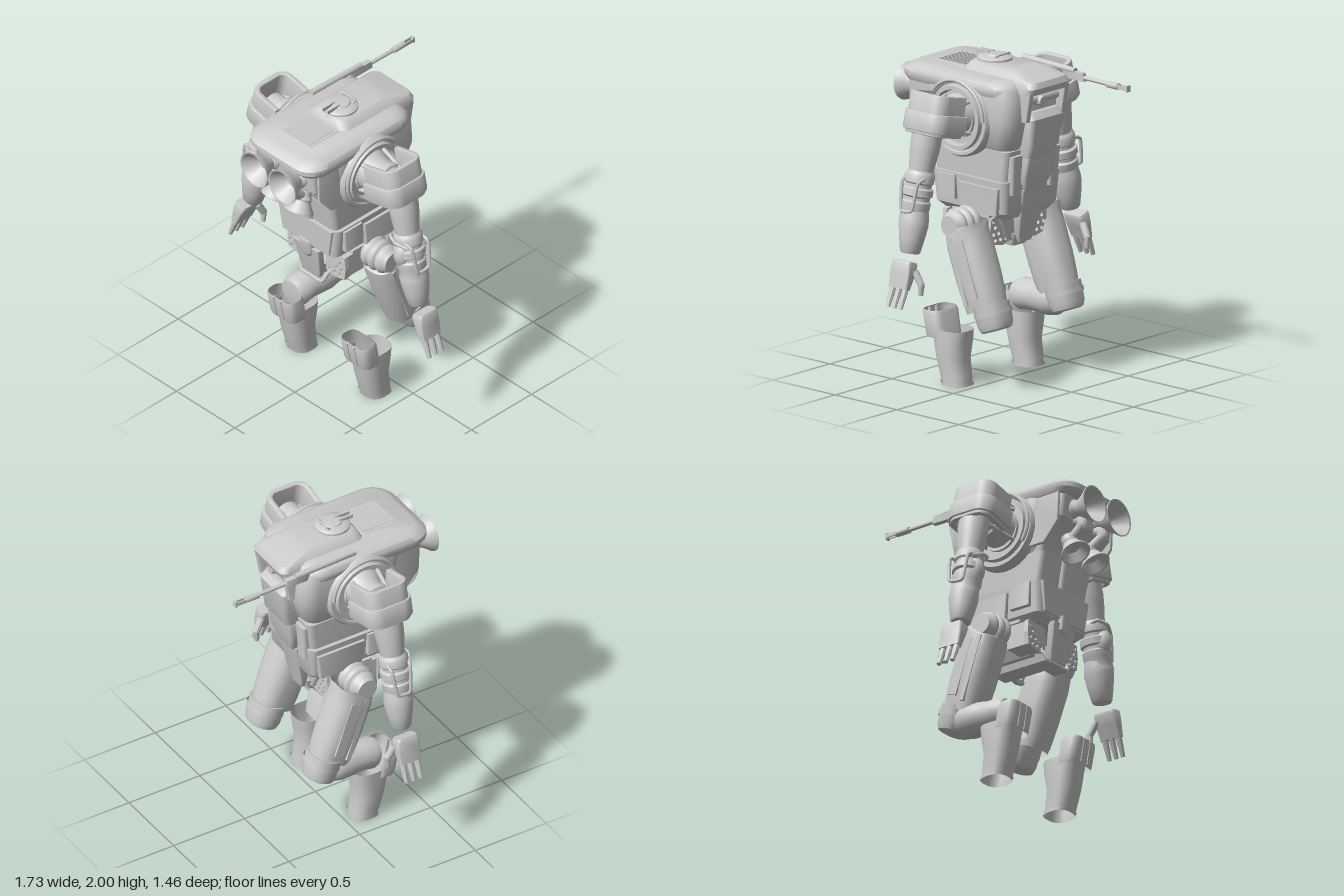
import * as THREE from 'three';
import { toCreasedNormals } from 'three/addons/utils/BufferGeometryUtils.js';

const V = (x, y, z) => new THREE.Vector3(x, y, z);
const UP = V(0, 1, 0);

// Loft of rounded rectangles; each section is [y, halfWidth, zBack, zFront, cornerRadius]
function loft(sections, capped = true, n = 5) {
  const pos = [], idx = [], ring = 4 * (n + 1);
  for (const [y, w, zb, zf, r] of sections) {
    const zc = (zb + zf) / 2, h = (zf - zb) / 2;
    const corners = [[1, 1], [-1, 1], [-1, -1], [1, -1]];
    corners.forEach(([sx, sz], c) => {
      for (let i = 0; i <= n; i++) {
        const a = (c + i / n) * Math.PI / 2;
        pos.push(sx * (w - r) + r * Math.cos(a), y, zc - sz * (h - r) - r * Math.sin(a));
      }
    });
  }
  for (let s = 0; s < sections.length - 1; s++) {
    for (let i = 0; i < ring; i++) {
      const j = (i + 1) % ring, a = s * ring + i, b = s * ring + j;
      idx.push(a, b, b + ring, a, b + ring, a + ring);
    }
  }
  if (capped) {
    const top = (sections.length - 1) * ring;
    for (let i = 1; i < ring - 1; i++) idx.push(0, i + 1, i, top, top + i, top + i + 1);
  }
  const g = new THREE.BufferGeometry();
  g.setAttribute('position', new THREE.Float32BufferAttribute(pos, 3));
  g.setIndex(idx);
  return toCreasedNormals(g, 0.6);
}

// Turned part standing at p and pointing along dir; points are [radius, distance]
function turned(points, p, dir, seg = 32) {
  const g = new THREE.LatheGeometry(points.map(([r, y]) => new THREE.Vector2(r, y)), seg);
  g.applyQuaternion(new THREE.Quaternion().setFromUnitVectors(UP, dir.clone().normalize()));
  return toCreasedNormals(g.translate(p.x, p.y, p.z), 0.6);
}

function rod(a, b, r0, r1 = r0, seg = 12) {
  const d = b.clone().sub(a);
  return turned([[0, 0], [r0, 0], [r1, d.length()], [0, d.length()]], a, d, seg);
}

const tube = (pts, r) =>
  new THREE.TubeGeometry(new THREE.CatmullRomCurve3(pts, false, 'catmullrom', 0.2), 32, r, 8);

const box = (w, h, d, x, y, z) => new THREE.BoxGeometry(w, h, d).translate(x, y, z);

// Mirrored copy across x = 0 with its winding restored
function mirror(geo) {
  const g = geo.index ? geo.toNonIndexed() : geo.clone();
  g.scale(-1, 1, 1);
  for (const name of ['position', 'normal']) {
    const a = g.attributes[name].array;
    for (let i = 0; i < a.length; i += 9) {
      for (let k = 3; k < 6; k++) [a[i + k], a[i + k + 3]] = [a[i + k + 3], a[i + k]];
    }
  }
  return g;
}

// U-shaped sleeve open toward the body
function sleeve(w, h, r, t, height) {
  const s = new THREE.Shape();
  s.moveTo(-w, -h); s.lineTo(w - r, -h);
  s.absarc(w - r, -h + r, r, -Math.PI / 2, 0);
  s.absarc(w - r, h - r, r, 0, Math.PI / 2);
  s.lineTo(-w, h); s.lineTo(-w, h - t);
  s.absarc(w - r, h - r, r - t, Math.PI / 2, 0, true);
  s.absarc(w - r, -h + r, r - t, 0, -Math.PI / 2, true);
  s.lineTo(-w, -h + t);
  const g = new THREE.ExtrudeGeometry(s, { depth: height, curveSegments: 8, bevelThickness: 0.008, bevelSize: 0.006, bevelSegments: 2 });
  return toCreasedNormals(g.rotateX(-Math.PI / 2), 0.6);
}

export function createModel() {
  const model = new THREE.Group();
  model.name = 'walkerSuit';
  const grey = new THREE.MeshStandardMaterial({ color: 0xcccccc, side: THREE.DoubleSide });
  grey.name = 'plain grey';
  const add = (name, geo) => {
    const m = new THREE.Mesh(geo, grey);
    m.name = name;
    model.add(m);
  };
  const pair = (name, geo) => { add(name + 'Left', geo); add(name + 'Right', mirror(geo)); };

  // Upper hull, roof and hump
  add('hull', loft([[1.42, .2, -.15, .38, .06], [1.5, .26, -.21, .41, .09], [1.66, .29, -.255, .44, .1], [1.8, .29, -.245, .46, .1], [1.86, .28, -.225, .46, .1]]));
  add('roof', loft([[1.8, .285, -.23, .63, .12], [1.83, .3, -.235, .66, .14], [1.86, .3, -.23, .66, .14], [1.885, .285, -.21, .63, .13], [1.905, .24, -.17, .59, .1]]));
  add('hump', loft([[1.83, .18, -.33, .25, .05], [1.87, .18, -.345, .26, .05], [1.905, .165, -.33, .25, .06], [1.94, .13, -.2, .235, .06], [1.953, .11, -.14, .22, .06]]));
  add('thrusterHousing', loft([[1.42, .23, .1, .41, .03], [1.56, .25, .1, .45, .03], [1.66, .25, .1, .57, .03], [1.82, .25, .1, .59, .03]]));
  pair('housingFin', loft([[1.5, .012, .3, .46, .01], [1.62, .012, .3, .56, .01], [1.83, .012, .3, .57, .01]]).translate(.265, 0, 0));

  // Roof hatch with handle
  add('hatch', turned([[.117, 0], [.117, .015], [.108, .02], [.108, .035], [.095, .045], [.06, .05], [.055, .058], [0, .06]], V(0, 1.93, .12), UP));
  pair('hatchHinge', box(.012, .022, .1, .02, 1.985, .2));
  add('hatchHandle', tube([V(-.05, 1.975, .07), V(-.05, 1.992, .05), V(.05, 1.992, .05), V(.05, 1.975, .07)], .007));

  // Roof grille
  add('grilleFrame', loft([[1.9, .13, .255, .5, .01], [1.908, .126, .26, .495, .01]]));
  for (let i = 0; i < 12; i++) add('grilleSlat', box(.21, .006, .009, 0, 1.909, .28 + i * .0178));

  // Roof gun
  const gx = -.252;
  add('gunRail', rod(V(gx, 1.915, .12), V(gx, 1.9, -.3), .02));
  add('gunReceiver', loft([[1.85, .018, -.38, -.22, .008], [1.9, .018, -.37, -.2, .008]]).translate(gx, 0, 0));
  add('gunBarrel', rod(V(gx, 1.872, -.36), V(gx, 1.868, -.66), .013));
  add('gunSleeve', rod(V(gx, 1.868, -.56), V(gx, 1.868, -.65), .02));
  for (const s of [-1, 1]) add('gunMuzzle', box(.008, .022, .08, gx + s * .012, 1.868, -.69));
  add('gunTip', box(.03, .04, .012, gx, 1.868, -.724));

  // Main and lower thrusters
  pair('mainThruster', turned([[.06, -.03], [.065, 0], [.05, .02], [.06, .045], [.085, .09], [.115, .13], [.117, .14], [.108, .138], [.075, .085], [.045, .04], [.04, .05], [0, .06]], V(.12, 1.73, .585), V(0, 0, 1)));
  const low = V(.08, -.87, .49).normalize();
  pair('lowerThruster', turned([[0, -.03], [.045, -.03], [.045, 0], [.06, .02], [.055, .035], [.065, .06], [.092, .1], [.092, .108], [.084, .106], [.05, .05], [0, .04]], V(.1, 1.46, .565).addScaledVector(low, -.106), low));
  pair('thrusterPipe', tube([V(.1, 1.68, .5), V(.1, 1.66, .6), V(.1, 1.62, .615), V(.09, 1.55, .52)], .035));

  // Shoulder rings and links
  const X = V(1, 0, 0);
  pair('shoulderRing', turned([[.245, 0], [.245, .05], [.232, .07], [.215, .07], [.21, .06], [.2, .06], [.195, .09], [.172, .09], [.165, .05], [.13, .05], [.13, .07], [0, .07]], V(.24, 1.645, .15), X, 48));
  pair('shoulderHoop', new THREE.TorusGeometry(.22, .012, 8, 40, Math.PI * 1.2).rotateY(Math.PI / 2).translate(.32, 1.655, .15));
  pair('shoulderLink', turned([[.13, 0], [.105, .06], [.1, .12], [.11, .125], [.11, .16], [.095, .165], [.09, .26], [0, .28]], V(.3, 1.66, .15), X));
  for (let i = 0; i < 4; i++) {
    const a = Math.PI / 4 + i * Math.PI / 2, c = Math.cos(a), s = Math.sin(a);
    pair('shoulderStrut', rod(V(.3, 1.66 + .14 * c, .15 + .14 * s), V(.52, 1.66 + .085 * c, .15 + .085 * s), .014));
  }

  // Shoulder pads
  const pad = (g, y) => g.translate(0, y, 0).rotateZ(.23).translate(.515, 1.71, .15);
  pair('shoulderPad', pad(sleeve(.11, .14, .075, .022, .235), -.12));
  pair('shoulderPadBelt', pad(sleeve(.122, .158, .09, .025, .1), -.1));

  // Arms
  const armTop = V(.555, 1.64, .15), armDir = V(.12, -.56, .02);
  pair('upperArm', turned([[0, 0], [.09, .01], [.092, .1], [.088, .16], [.075, .27], [.085, .285], [.09, .3], [.09, .34], [.08, .35], [.08, .37], [.095, .38], [.095, .42], [.082, .43], [.082, .45], [.092, .46], [.09, .5], [.08, .53], [.085, .58]], armTop, armDir));
  pair('forearm', turned([[.08, -.02], [.088, .03], [.09, .07], [.078, .15], [.062, .23], [.055, .24], [0, .24]], V(.665, 1.12, .16), V(.045, -.24, 0)));
  pair('elbowPad', new THREE.SphereGeometry(.075, 20, 14).scale(.75, 1.15, .8).translate(.635, 1.24, .215));
  pair('elbowFrame', tube([V(.655, 1.34, .09), V(.72, 1.32, .09), V(.75, 1.16, .11), V(.745, 1.15, .2), V(.715, 1.32, .22), V(.655, 1.34, .23)], .011));
  pair('elbowHandle', tube([V(.55, 1.33, .16), V(.55, 1.35, .24), V(.62, 1.34, .265), V(.69, 1.32, .235)], .011));

  // Hands
  const hand = g => g.rotateZ(.32).translate(.755, .845, .155);
  pair('palm', hand(loft([[-.17, .022, -.07, .075, .012], [-.08, .034, -.075, .078, .014], [-.015, .045, -.072, .075, .018], [0, .04, -.065, .068, .018]])));
  for (let i = 0; i < 3; i++) {
    const z = -.048 + i * .05;
    pair('finger', hand(rod(V(0, -.16, z), V(.004, -.23, z), .02, .018, 8)));
    pair('fingertip', hand(rod(V(.004, -.225, z), V(.008, -.29, z), .017, .014, 8)));
  }
  pair('thumb', rod(V(.745, .79, .09), V(.735, .71, .045), .024, .022, 10));
  pair('thumbTip', rod(V(.735, .72, .045), V(.735, .645, .05), .021, .015, 10));

  // Torso and waist
  add('torso', loft([[1.26, .235, -.17, .39, .04], [1.47, .245, -.2, .43, .04]]));
  add('torsoColumn', loft([[1.28, .05, .3, .42, .03], [1.47, .055, .3, .45, .03]]));
  add('waist', loft([[1.04, .2, -.15, .36, .04], [1.08, .24, -.175, .4, .05], [1.28, .26, -.19, .405, .05]]));
  add('waistFrontPlate', loft([[1.09, .2, .36, .412, .01], [1.28, .23, .36, .42, .01]]));
  pair('waistSidePlate', loft([[1.07, .02, -.13, .16, .01], [1.24, .025, -.15, .18, .01]]).translate(.25, 0, 0));
  pair('waistPouch', loft([[1.12, .02, .2, .34, .01], [1.27, .02, .2, .35, .01]]).translate(.255, 0, 0));

  // Cockpit plates and sensor recess on the back side
  add('cockpitPlate', loft([[1.41, .115, -.262, -.05, .03], [1.5, .13, -.295, -.05, .03], [1.67, .14, -.315, -.05, .03], [1.71, .13, -.28, -.05, .03]]));
  add('abdomenPlate', loft([[1.2, .08, -.21, -.05, .02], [1.3, .125, -.245, -.05, .02], [1.42, .12, -.262, -.05, .02]]));
  pair('abdomenSide', loft([[1.2, .04, -.205, .0, .02], [1.44, .05, -.22, .0, .02]]).translate(.165, 0, 0));
  pair('recessCheek', loft([[1.66, .02, -.29, -.1, .008], [1.85, .02, -.325, -.1, .008]]).translate(.155, 0, 0));
  add('sensorBar', rod(V(-.13, 1.78, -.25), V(.13, 1.78, -.25), .03));
  add('sensorEye', rod(V(.03, 1.77, -.22), V(.03, 1.77, -.3), .035, .03, 20));

  // Pelvis with perforated blocks
  add('pelvisCore', loft([[.88, .1, -.08, .24, .02], [1.06, .2, -.1, .27, .02]]));
  const plate = new THREE.Shape([[.08, .88], [.14, .86], [.24, .88], [.25, .96], [.24, 1.04], [.08, 1.06]].map(p => new THREE.Vector2(...p)));
  for (let r = 0; r < 4; r++) for (let c = 0; c < 3; c++) {
    plate.holes.push(new THREE.Path().absarc(.115 + c * .045 + (r % 2) * .015, .9 + r * .04, .013, 0, Math.PI * 2, true));
  }
  for (const z of [-.07, .29]) {
    pair('perforatedPlate', new THREE.ExtrudeGeometry(plate, { depth: .03, bevelEnabled: false, curveSegments: 6 }).translate(0, 0, z));
  }
  pair('perforatedBlock', box(.14, .15, .13, .165, .96, .22));
  pair('pelvisSide', box(.14, .02, .3, .17, 1.05, .1));
  add('crotchFrontPlate', loft([[.83, .07, .33, .365, .01], [.87, .085, .33, .375, .01], [1.06, .105, .36, .41, .01]]));
  add('crotchBuckle', loft([[.99, .03, .36, .41, .02], [1.02, .05, .36, .425, .025], [1.11, .05, .36, .43, .025]]));
  add('crotchBackPlate', loft([[.87, .05, -.13, -.1, .01], [.93, .075, -.145, -.1, .01], [1.21, .1, -.2, -.1, .01]]));
  add('crotchRail', tube([V(-.11, .9, .25), V(-.11, .87, .33), V(-.085, .81, .36), V(.085, .81, .36), V(.11, .87, .33), V(.11, .9, .25)], .013));
  add('crotchUnderside', loft([[.84, .06, -.08, .34, .02], [.92, .08, -.11, .35, .02]]));

  // Hips: rounded bulges with shallow grooves and a flat outer disc
  const hip = [[0, 0], [.07, 0]];
  for (let i = 0; i < 3; i++) {
    const x = .01 + i * .055, r = i === 2 ? .094 : .102;
    hip.push([r - .014, x], [r - .004, x + .012], [r, x + .026], [r - .004, x + .04], [r - .014, x + .052]);
  }
  hip.push([.07, .19], [.065, .2], [0, .2]);
  pair('hipJoint', turned(hip, V(.23, 1, .1), X));

  // Thighs and knees, tilted back
  const tilt = g => g.rotateX(.34).translate(.316, .955, .055);
  pair('thigh', tilt(loft([[-.48, .102, -.13, .125, .09], [-.4, .11, -.133, .13, .09], [-.28, .12, -.137, .135, .1], [-.08, .123, -.132, .137, .1], [0, .118, -.13, .13, .1], [.04, .112, -.13, .02, .07]], false)));
  pair('thighRib', tilt(box(.02, .42, .03, .112, -.22, .05)));
  pair('thighHatch', tilt(box(.012, .36, .06, .118, -.22, -.03)));
  pair('kneeCap', tilt(loft([[-.615, .08, -.1, .04, .06], [-.605, .098, -.125, .05, .08], [-.57, .11, -.138, .06, .09], [-.45, .116, -.142, .06, .09]])));
  pair('kneeBand', tilt(loft([[-.52, .117, -.146, .06, .09], [-.49, .119, -.147, .06, .09]], false)));
  add('kneeLinkRight', turned([[0, -.03], [.07, -.02], [.1, .02], [.108, .08], [.1, .16], [.094, .22], [.1, .3], [.085, .34], [0, .35]], V(-.316, .445, -.12), V(0, -.06, 1)));

  // Shins
  const shin = g => g.translate(.315, 0, 0);
  pair('shin', shin(loft([[0, .085, .05, .22, .07], [.05, .086, .055, .235, .07], [.16, .096, .072, .265, .08], [.28, .1, .055, .285, .08], [.34, .1, .05, .3, .08]], false)));
  pair('shinPlate', shin(loft([[.285, .106, .175, .312, .05], [.3, .11, .18, .317, .05], [.43, .113, .205, .342, .05], [.45, .108, .215, .34, .05]], false)));
  for (const x of [-.03, .03]) {
    pair('shinRib', shin(box(.012, .15, .02, x, 0, 0).rotateX(.17).translate(0, .37, .325)));
  }
  pair('ankleRim', shin(loft([[0, .09, .045, .225, .07], [.018, .09, .047, .23, .07]], false)));

  return model;
}
